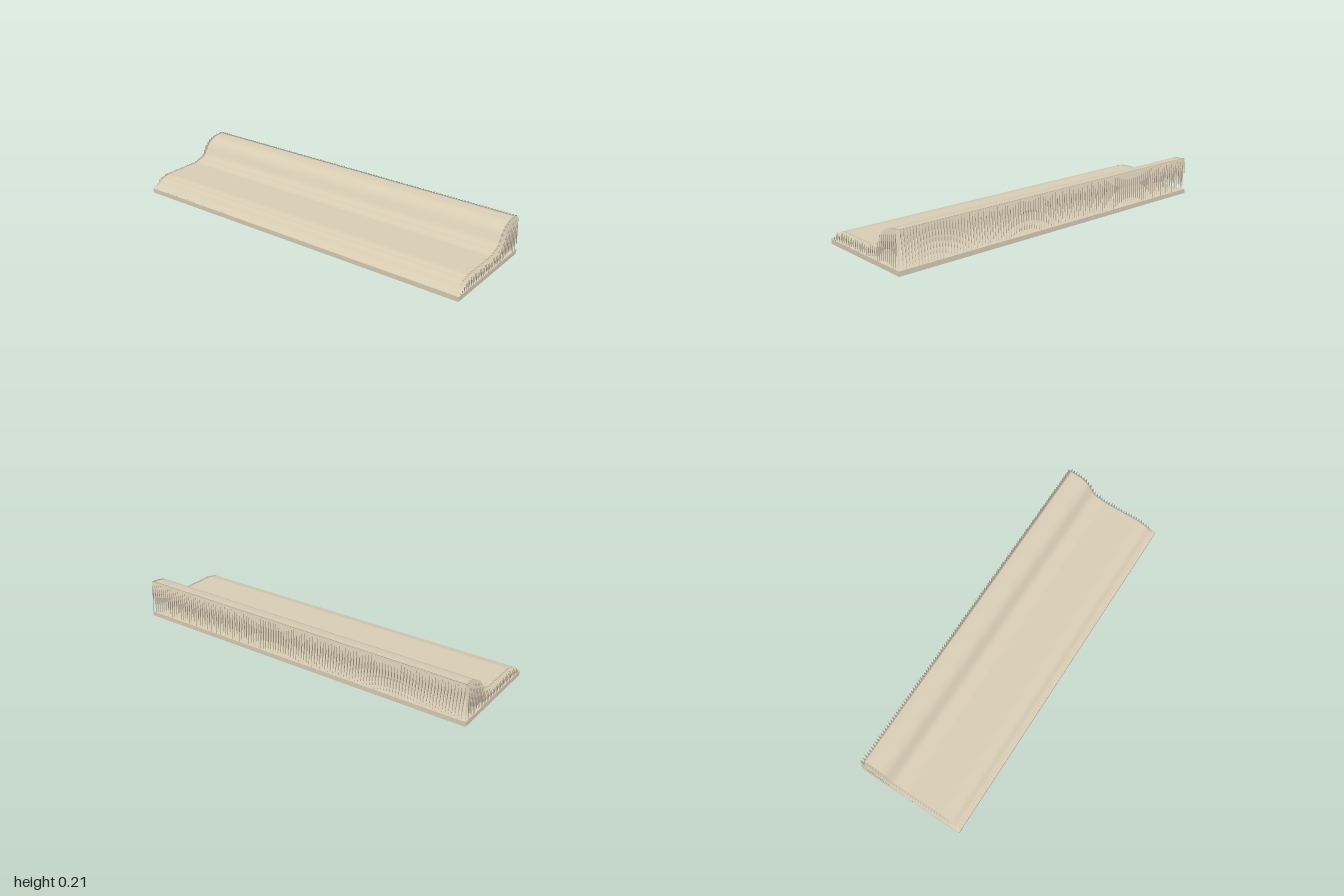
import * as THREE from 'three';

const HALF_X = 1, HALF_Z = 0.292, BASE_H = 0.025;
const COLS = 240, ROWS = 70, RIM = 0.0165;

// Moulding profile, front to back: [z, height]
const profile = [
  [0.292, 0.033], [0.275, 0.037], [0.26, 0.046], [0.245, 0.063], [0.23, 0.074], [0.21, 0.077],
  [0.195, 0.082], [0.178, 0.085], [-0.04, 0.085], [-0.06, 0.091], [-0.075, 0.097], [-0.1, 0.102],
  [-0.112, 0.110], [-0.125, 0.125], [-0.137, 0.145], [-0.15, 0.165], [-0.165, 0.18],
  [-0.185, 0.193], [-0.21, 0.203], [-0.245, 0.208], [-0.292, 0.209],
];

function heightAt(z) {
  for (let i = 1; i < profile.length; i++) {
    const [z0, y0] = profile[i - 1], [z1, y1] = profile[i];
    if (z >= z1) return y0 + (y1 - y0) * (z - z0) / (z1 - z0);
  }
  return profile[profile.length - 1][1];
}

// Evenly spaced positions with a wider first and last cell for the toothed rim
function gridPosition(i, count, half) {
  if (i === 0) return -half;
  if (i === count) return half;
  const inner = half - RIM;
  return -inner + 2 * inner * (i - 1) / (count - 2);
}

export function createModel() {
  const group = new THREE.Group();
  group.name = 'mouldedSlab';
  const stone = new THREE.MeshStandardMaterial({ color: 0xd8ccb4, side: THREE.DoubleSide });
  stone.name = 'warm stone';

  // Flat base plate
  const base = new THREE.Mesh(new THREE.BoxGeometry(2 * HALF_X, BASE_H, 2 * HALF_Z), stone);
  base.name = 'basePlate';
  base.position.y = BASE_H / 2;
  group.add(base);

  // Curved surface; every second rim vertex drops to the base, leaving hanging teeth
  const geometry = new THREE.PlaneGeometry(2, 2, COLS, ROWS).rotateX(-Math.PI / 2);
  const position = geometry.attributes.position;
  for (let r = 0; r <= ROWS; r++) {
    for (let c = 0; c <= COLS; c++) {
      const x = gridPosition(c, COLS, HALF_X), z = gridPosition(r, ROWS, HALF_Z);
      const onRim = r === 0 || r === ROWS || c === 0 || c === COLS;
      const low = onRim && (r + c) % 2 === 0;
      position.setXYZ(r * (COLS + 1) + c, x, low ? BASE_H : heightAt(z), z);
    }
  }
  geometry.computeVertexNormals();
  const surface = new THREE.Mesh(geometry, stone);
  surface.name = 'mouldedSurface';
  group.add(surface);
  return group;
}
